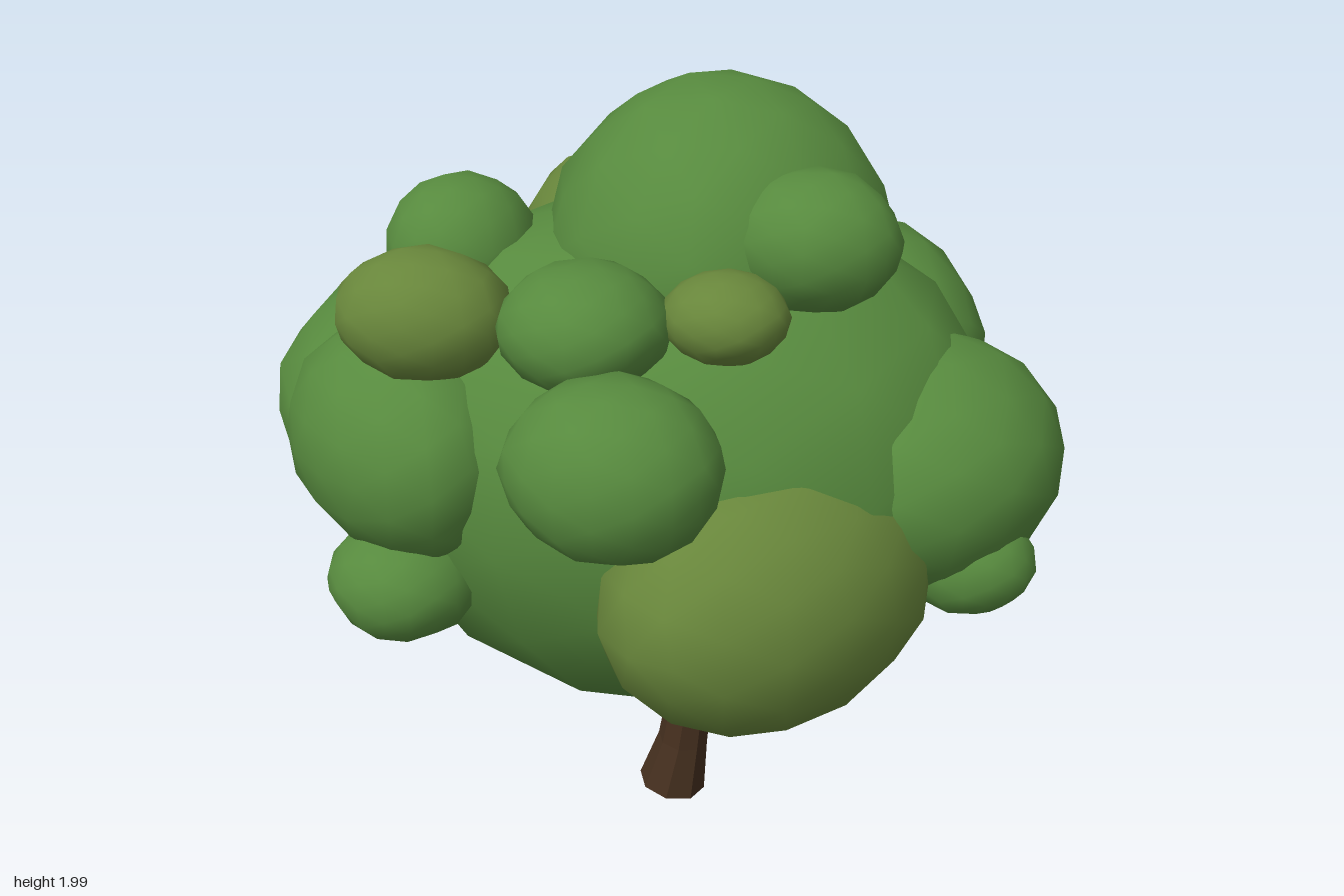
import * as THREE from 'three';
import { mergeVertices } from 'three/addons/utils/BufferGeometryUtils.js';

const leaf = new THREE.MeshStandardMaterial({ color: 0x578a3e });
const olive = new THREE.MeshStandardMaterial({ color: 0x68863b });
const bark = new THREE.MeshStandardMaterial({ color: 0x46301f, flatShading: true });
const DIAG = Math.PI / 4;

function seeded(seed) {
  let s = seed * 7919 + 17;
  return () => (s = (s * 16807) % 2147483647) / 2147483647;
}

// Smooth-shaded, slightly lumpy ellipsoid of leaves; taper widens it upwards
function clump(seed, name, [x, y, z], [rx, ry, rz], material, yaw = 0, taper = 0) {
  let geo = new THREE.IcosahedronGeometry(1, 2);
  geo.deleteAttribute('normal');
  geo.deleteAttribute('uv');
  geo = mergeVertices(geo, 1e-4);
  const rand = seeded(seed);
  const p = geo.attributes.position;
  const v = new THREE.Vector3();
  for (let i = 0; i < p.count; i++) {
    v.fromBufferAttribute(p, i).multiplyScalar(1.01 + (rand() - 0.5) * 0.05);
    const widen = 1 + taper * v.y;
    p.setXYZ(i, v.x * rx * widen, v.y * ry, v.z * rz * widen);
  }
  geo.computeVertexNormals();
  const mesh = new THREE.Mesh(geo, material);
  mesh.name = name;
  mesh.position.set(x, y, z);
  mesh.rotation.y = yaw;
  return mesh;
}

// Eight-sided trunk built from tilted rings: [x, y, radius, tilt]
function trunk() {
  const rings = [[0.02, 0.02, 0.09, -0.17], [0.05, 0.17, 0.067, -0.12],
    [0.07, 0.33, 0.06, -0.06], [0.075, 0.46, 0.058, 0], [0.08, 0.6, 0.055, 0]];
  const geo = new THREE.CylinderGeometry(1, 1, 1, 8, rings.length - 1);
  const p = geo.attributes.position;
  for (let i = 0; i < p.count; i++) {
    const [x, y, r, tilt] = rings[Math.round((p.getY(i) + 0.5) * (rings.length - 1))];
    const px = p.getX(i) * r;
    p.setXYZ(i, x + px, y + px * tilt, p.getZ(i) * r);
  }
  geo.computeVertexNormals();
  const mesh = new THREE.Mesh(geo, bark);
  mesh.name = 'trunk';
  return mesh;
}

export function createModel() {
  const tree = new THREE.Group();
  tree.name = 'tree';
  tree.add(trunk());

  const foliage = new THREE.Group();
  foliage.name = 'foliage';
  // name, centre, radii, colour, yaw, taper
  const clumps = [
    ['crownCore', [0.02, 1.06, 0], [0.79, 0.65, 0.66], leaf, 0, 0.07],
    ['crownTop', [0.12, 1.61, -0.07], [0.42, 0.39, 0.44], leaf, 0, -0.1],
    // large side clumps, some turned to follow the crown
    ['leftClump', [0.61, 1.13, 0.09], [0.39, 0.31, 0.35], leaf, DIAG],
    ['frontClump', [0.33, 0.96, 0.47], [0.42, 0.33, 0.29], olive, DIAG],
    ['rightClump', [-0.61, 1.18, -0.03], [0.37, 0.3, 0.47], leaf],
    ['frontRightClump', [-0.56, 1.21, 0.36], [0.25, 0.28, 0.34], leaf, DIAG],
    ['backLeftClump', [0.41, 1.21, -0.42], [0.33, 0.33, 0.39], leaf, DIAG],
    ['backClump', [-0.2, 1.33, -0.56], [0.32, 0.33, 0.31], olive],
    // small tufts on the upper front
    ['topTuft', [0.37, 1.7, 0.19], [0.2, 0.16, 0.18], leaf],
    ['frontTuft', [0.02, 1.35, 0.69], [0.24, 0.2, 0.21], leaf],
    ['upperFrontTuft', [-0.09, 1.57, 0.46], [0.19, 0.14, 0.19], leaf],
    ['smallFrontTuft', [0.21, 1.59, 0.4], [0.14, 0.1, 0.13], olive],
    ['upperRightTuft', [-0.47, 1.55, 0.41], [0.2, 0.15, 0.17], olive],
    ['rearRightTuft', [-0.48, 1.59, 0.07], [0.18, 0.17, 0.2], leaf],
    // small tufts lower down and at the back
    ['leftTuft', [0.77, 0.95, 0.23], [0.16, 0.13, 0.14], leaf],
    ['lowerRightTuft', [-0.53, 0.91, 0.5], [0.18, 0.14, 0.17], leaf],
    ['lowBackRightTuft', [-0.57, 0.78, -0.45], [0.25, 0.2, 0.21], olive],
    ['backRightTuft', [-0.39, 0.95, -0.51], [0.15, 0.13, 0.15], leaf],
    ['backTuft', [-0.28, 1.09, -0.73], [0.18, 0.13, 0.17], leaf],
    ['backLeftTuft', [0.17, 1.28, -0.75], [0.19, 0.19, 0.17], olive],
    ['lowBackTuft', [0.08, 0.94, -0.61], [0.17, 0.15, 0.17], olive],
  ];
  clumps.forEach((c, i) => foliage.add(clump(i + 1, ...c)));
  tree.add(foliage);
  return tree;
}
